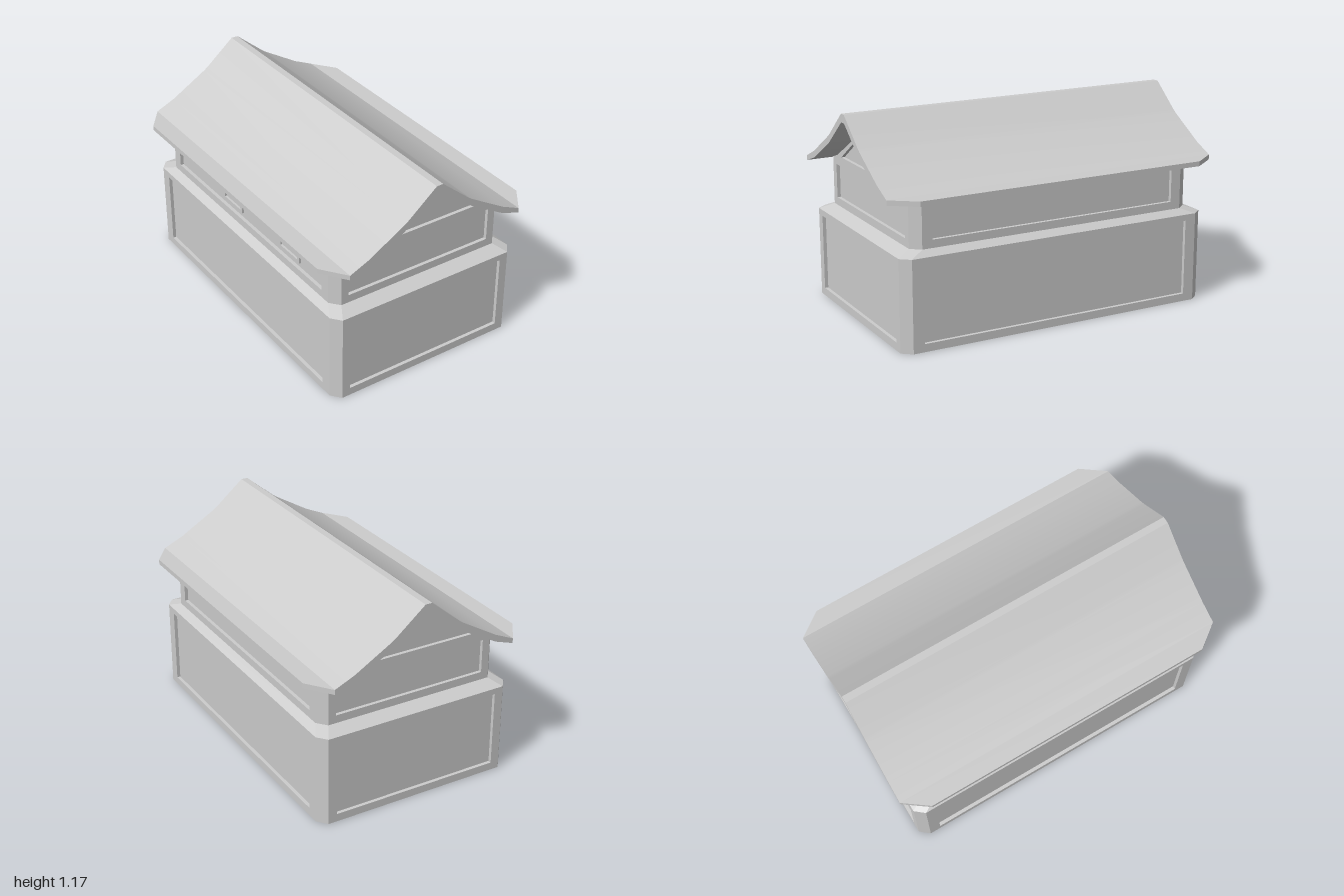
import * as THREE from 'three';
import { mergeGeometries, toCreasedNormals } from 'three/addons/utils/BufferGeometryUtils.js';

const material = new THREE.MeshStandardMaterial({ color: 0xcccccc, side: THREE.DoubleSide });

// Flat quads, each given as four corners in counter-clockwise order
function quads(list) {
  const pos = [];
  for (const [a, b, c, d] of list) pos.push(...a, ...b, ...c, ...a, ...c, ...d);
  const g = new THREE.BufferGeometry();
  g.setAttribute('position', new THREE.Float32BufferAttribute(pos, 3));
  g.computeVertexNormals();
  return g;
}

function mesh(name, geometry) {
  const m = new THREE.Mesh(geometry, material);
  m.name = name;
  return m;
}

const toShape = (pts) => new THREE.Shape(pts.map(([x, y]) => new THREE.Vector2(x, y)));
const rect = (w, y0, y1) => [[-w, y0], [w, y0], [w, y1], [-w, y1]];

// Thin wall facing +z whose panels are set back behind a plain border
function panelWall(name, outline, panels, depth = 0.02) {
  const flat = (shape) => {
    const g = new THREE.ShapeGeometry(shape).toNonIndexed();
    g.deleteAttribute('uv');
    return g;
  };
  const face = toShape(outline);
  const parts = [];
  for (const p of panels) {
    face.holes.push(toShape(p));
    parts.push(flat(toShape(p)).translate(0, 0, -depth));
    parts.push(quads(p.map(([x, y], i) => {
      const [u, v] = p[(i + 1) % p.length];
      return [[x, y, 0], [u, v, 0], [u, v, -depth], [x, y, -depth]];
    })));
  }
  parts.push(flat(face));
  return mesh(name, mergeGeometries(parts));
}

// Rectangle with cut corners, anticlockwise from the front left corner
const octagon = ({ hx, hz, bx, bz }) => [
  [bx, hz], [hx, bz], [hx, -bz], [bx, -hz], [-bx, -hz], [-hx, -bz], [-hx, bz], [-bx, hz],
];

// Strips between two octagons; step 2 keeps only the cut corners
function band(lower, y0, upper, y1, step) {
  const a = octagon(lower), b = octagon(upper), list = [];
  for (let i = 0; i < 8; i += step) {
    const j = (i + 1) % 8;
    list.push([[a[i][0], y0, a[i][1]], [a[j][0], y0, a[j][1]],
      [b[j][0], y1, b[j][1]], [b[i][0], y1, b[i][1]]]);
  }
  return quads(list);
}

// Roof half profile: x, top, underside, half length
const half = [
  [0.02, 1.172, 1.125, 1], [0.19, 1.03, 0.988, 1], [0.215, 1.012, 0.97, 1],
  [0.43, 0.885, 0.845, 1], [0.545, 0.834, 0.806, 1], [0.648, 0.834, 0.806, 0.86],
];

function roofGeometry() {
  const s = [...half.map(([x, ...r]) => [-x, ...r]).reverse(), ...half];
  const list = [];
  for (let i = 0; i < s.length - 1; i++) {
    const [x, t, b, z] = s[i], [X, T, B, Z] = s[i + 1];
    list.push(
      [[x, t, z], [X, T, Z], [X, T, -Z], [x, t, -z]],
      [[x, b, -z], [X, B, -Z], [X, B, Z], [x, b, z]],
      [[x, b, z], [X, B, Z], [X, T, Z], [x, t, z]],
      [[X, B, -Z], [x, b, -z], [x, t, -z], [X, T, -Z]],
    );
  }
  const [x, t, b, z] = half[half.length - 1];
  list.push([[x, b, z], [x, b, -z], [x, t, -z], [x, t, z]]);
  list.push([[-x, b, -z], [-x, b, z], [-x, t, z], [-x, t, -z]]);
  return toCreasedNormals(quads(list), 0.35);
}

// Round-topped window outline
function archShape(w, y0, y1, Type) {
  const s = new Type();
  s.moveTo(-w, y0);
  s.lineTo(w, y0);
  s.lineTo(w, y1 - w);
  s.absarc(0, y1 - w, w, 0, Math.PI, false);
  s.closePath();
  return s;
}

export function createModel() {
  const model = new THREE.Group();
  model.name = 'house';
  const low = { hx: 0.59, hz: 0.94, bx: 0.545, bz: 0.885 };
  const up = { hx: 0.545, hz: 0.86, bx: 0.5, bz: 0.805 };

  // Corner posts and the sloped ledge between the storeys
  model.add(mesh('lowerCorners', band(low, 0, low, 0.515, 2)));
  model.add(mesh('ledge', band(low, 0.515, up, 0.545, 1)));
  model.add(mesh('upperCorners', band(up, 0.545, up, 0.825, 2)));

  // Upper end wall runs up into the gable
  const under = half.slice(0, 4).map(([x, , b]) => [x, b + 0.008]);
  const endOutline = [
    [-up.bx, 0.545], [up.bx, 0.545], [up.bx, 0.825], ...[...under].reverse(),
    ...under.map(([x, y]) => [-x, y]), [-up.bx, 0.825],
  ];
  const gable = [[-0.378, 0.84], [0.378, 0.84], [0.145, 0.992], [0, 1.118], [-0.145, 0.992]];

  // Front and back, then left and right walls
  for (const turn of [0, Math.PI]) {
    const ends = new THREE.Group();
    ends.name = turn ? 'backWalls' : 'frontWalls';
    const lower = panelWall('lowerEndWall', rect(low.bx, 0, 0.515), [rect(0.495, 0.045, 0.48)]);
    lower.position.z = low.hz;
    const upper = panelWall('upperEndWall', endOutline, [rect(0.455, 0.59, 0.785), gable]);
    upper.position.z = up.hz;
    ends.add(lower, upper);
    ends.rotation.y = turn;

    const sides = new THREE.Group();
    sides.name = turn ? 'rightWalls' : 'leftWalls';
    const lowSide = panelWall('lowerSideWall', rect(low.bz, 0, 0.515), [rect(0.82, 0.045, 0.48)]);
    lowSide.position.z = low.hx;
    const upSide = panelWall('upperSideWall', rect(up.bz, 0.545, 0.825), [rect(0.745, 0.59, 0.785)]);
    upSide.position.z = up.hx;
    sides.add(lowSide, upSide);
    sides.rotation.y = Math.PI / 2 + turn;
    model.add(ends, sides);
  }

  // Two arched windows in the upper right wall
  for (const z of [-0.16, 0.42]) {
    const frame = archShape(0.1, 0.62, 0.775, THREE.Shape);
    frame.holes.push(archShape(0.083, 0.637, 0.758, THREE.Path));
    const geometry = new THREE.ExtrudeGeometry(frame, { depth: 0.022, bevelEnabled: false, curveSegments: 10 });
    const window = mesh('windowFrame', toCreasedNormals(geometry, 0.6));
    window.rotation.y = -Math.PI / 2;
    window.position.set(-up.hx + 0.03, 0, z);
    model.add(window);
  }

  model.add(mesh('roof', roofGeometry()));
  return model;
}
